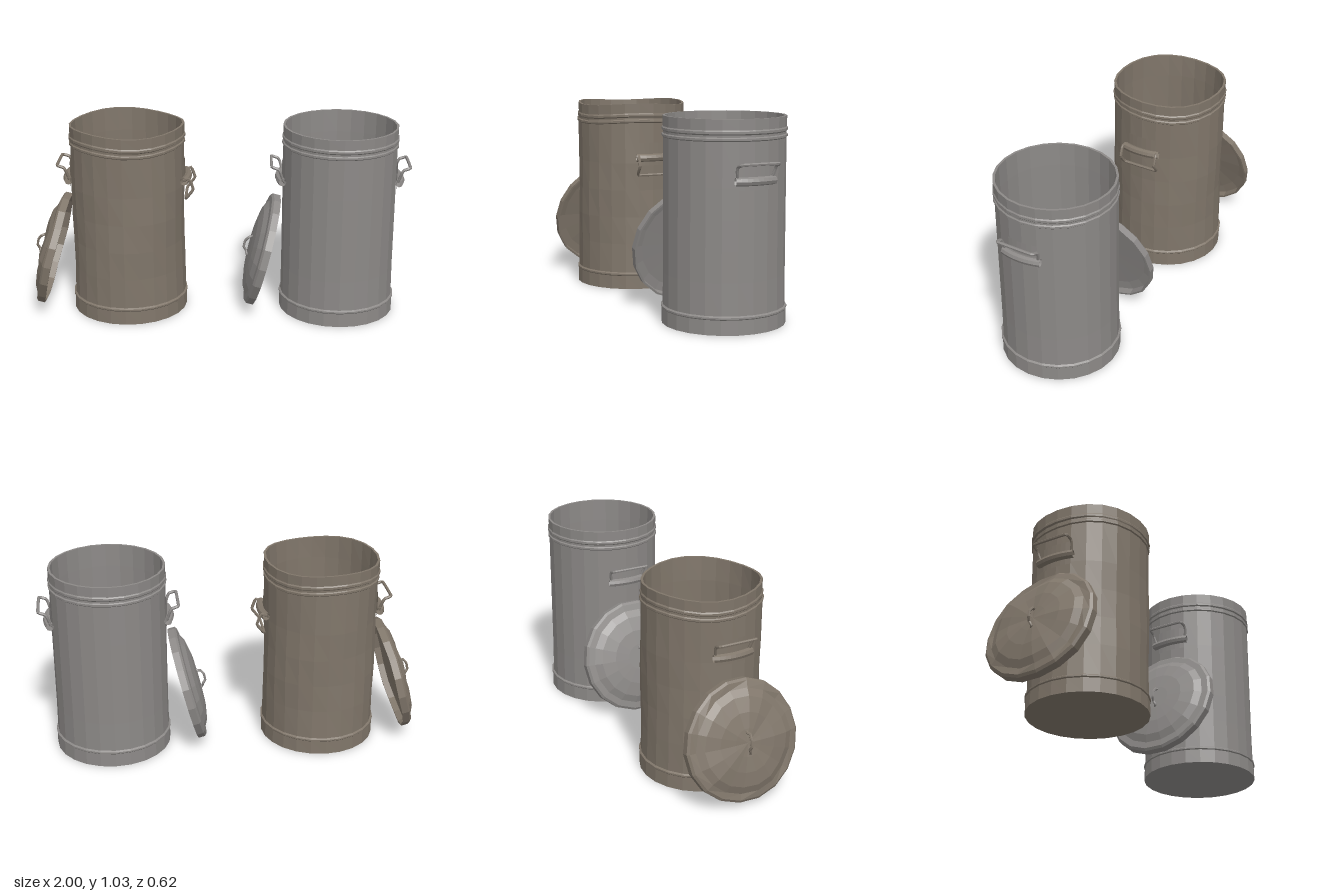
import * as THREE from 'three';

const V = (x, y, z) => new THREE.Vector3(x, y, z);
const ARC = 0.33; // half angle covered by a handle bracket

function lathe(points, sides) {
  return new THREE.LatheGeometry(points.map(([r, y]) => new THREE.Vector2(r, y)), sides);
}

function wire(points, radius, segments) {
  const curve = new THREE.CatmullRomCurve3(points, false, 'catmullrom', 0.15);
  return new THREE.TubeGeometry(curve, segments, radius, 6);
}

// Push vertices in and out around the axis and lift them by smooth rules
function dent(geo, radial, lift) {
  const p = geo.attributes.position;
  for (let i = 0; i < p.count; i++) {
    const x = p.getX(i), y = p.getY(i), z = p.getZ(i);
    const a = Math.atan2(z, x), k = 1 + radial(a, y);
    p.setXYZ(i, x * k, y + lift(a, y, Math.hypot(x, z)), z * k);
  }
  geo.computeVertexNormals();
  return geo;
}

function part(name, geo, mat) {
  const m = new THREE.Mesh(geo, mat);
  m.name = name;
  return m;
}

// Bracket plate, curled sleeve and wire bail on the +x side
function sideHandle(mat, drooping) {
  const g = new THREE.Group();
  g.name = 'sideHandle';

  const plate = new THREE.CylinderGeometry(0.305, 0.305, 0.125, 6, 1, true, Math.PI / 2 - 0.27, 0.54);
  plate.translate(0, 0.75, 0);
  g.add(part('bracketPlate', plate, mat));

  const arc = [];
  for (let i = 0; i <= 6; i++) {
    const a = -ARC + (2 * ARC * i) / 6;
    arc.push(V(0.32 * Math.cos(a), 0.732, 0.32 * Math.sin(a)));
  }
  const sleeve = new THREE.TubeGeometry(new THREE.CatmullRomCurve3(arc), 8, 0.021, 8);
  g.add(part('bracketSleeve', sleeve, mat));

  // Half of the bail as (outward, up); mirrored across z
  const half = drooping
    ? [[0.3, 0.735], [0.332, 0.746], [0.352, 0.69], [0.312, 0.638]]
    : [[0.3, 0.735], [0.315, 0.785], [0.325, 0.803], [0.36, 0.815]];
  const zs = [0.09, 0.102, 0.102, 0.095];
  const near = half.map(([x, y], i) => V(x, y, zs[i]));
  const far = half.map(([x, y], i) => V(x, y, -zs[i])).reverse();
  g.add(part('bail', wire([...near, ...far], 0.008, 44), mat));
  return g;
}

function buildLid(mat, worn) {
  const g = new THREE.Group();
  g.name = 'lid';
  const shell = lathe([
    [0, 0.088], [0.07, 0.088], [0.15, 0.084], [0.225, 0.07], [0.262, 0.05], [0.296, 0.046],
    [0.308, 0.036], [0.308, 0], [0.298, 0], [0.295, 0.034], [0.25, 0.042], [0, 0.046],
  ], 18);
  if (worn) {
    dent(shell, (a) => 0.008 * Math.sin(3 * a + 1),
      (a, y, r) => 0.03 * r * Math.sin(5 * a) * (y > 0.05 ? 1 : 0.3));
  }
  g.add(part('lidShell', shell, mat));
  const grip = wire([
    V(-0.06, 0.08, 0), V(-0.05, 0.094, 0.006), V(-0.032, 0.103, -0.004), V(-0.015, 0.119, 0),
    V(0.02, 0.121, 0), V(0.045, 0.108, 0.004), V(0.052, 0.094, -0.004), V(0.062, 0.08, 0),
  ], 0.007, 28);
  g.add(part('lidGrip', grip, mat));
  // Leaning against the can
  g.position.set(-0.3845, 0.313, 0);
  g.rotation.z = 1.316;
  return g;
}

function buildCan(name, color, worn) {
  const mat = new THREE.MeshStandardMaterial({ color, flatShading: true, side: THREE.DoubleSide });
  const g = new THREE.Group();
  g.name = name;

  // Base band, wall, two beads, rim, then the inside down to the floor
  const body = lathe([
    [0, 0], [0.308, 0], [0.306, 0.073], [0.311, 0.078], [0.311, 0.086], [0.302, 0.092],
    [0.3, 0.25], [0.3, 0.4], [0.3, 0.55], [0.3, 0.7], [0.3, 0.915],
    [0.306, 0.92], [0.306, 0.93], [0.3, 0.935], [0.3, 0.945],
    [0.306, 0.951], [0.306, 0.962], [0.301, 0.968], [0.302, 1.02], [0.29, 1.02],
    [0.288, 0.9], [0.288, 0.7], [0.288, 0.55], [0.288, 0.4], [0.288, 0.25], [0.288, 0.02], [0, 0.02],
  ], 24);
  if (worn) {
    dent(body,
      (a, y) => 0.013 * Math.sin(3 * a + 9 * y) * Math.sin(Math.PI * Math.min(y, 1))
        + (y > 0.95 ? 0.012 * Math.sin(2 * a + 0.6) : 0),
      (a, y) => (y > 0.9 ? 0.007 * Math.sin(3 * a + 0.8) : 0));
  }
  g.add(part('canBody', body, mat));

  g.add(sideHandle(mat, worn));
  const other = sideHandle(mat, false);
  other.rotation.y = Math.PI;
  g.add(other, buildLid(mat, worn));
  return g;
}

export function createModel() {
  const model = new THREE.Group();
  model.name = 'trashCans';
  const worn = buildCan('wornCan', 0x80766a, true);
  worn.position.x = -0.49;
  const clean = buildCan('cleanCan', 0x8c8987, false);
  clean.position.x = 0.632;
  model.add(worn, clean);
  return model;
}
